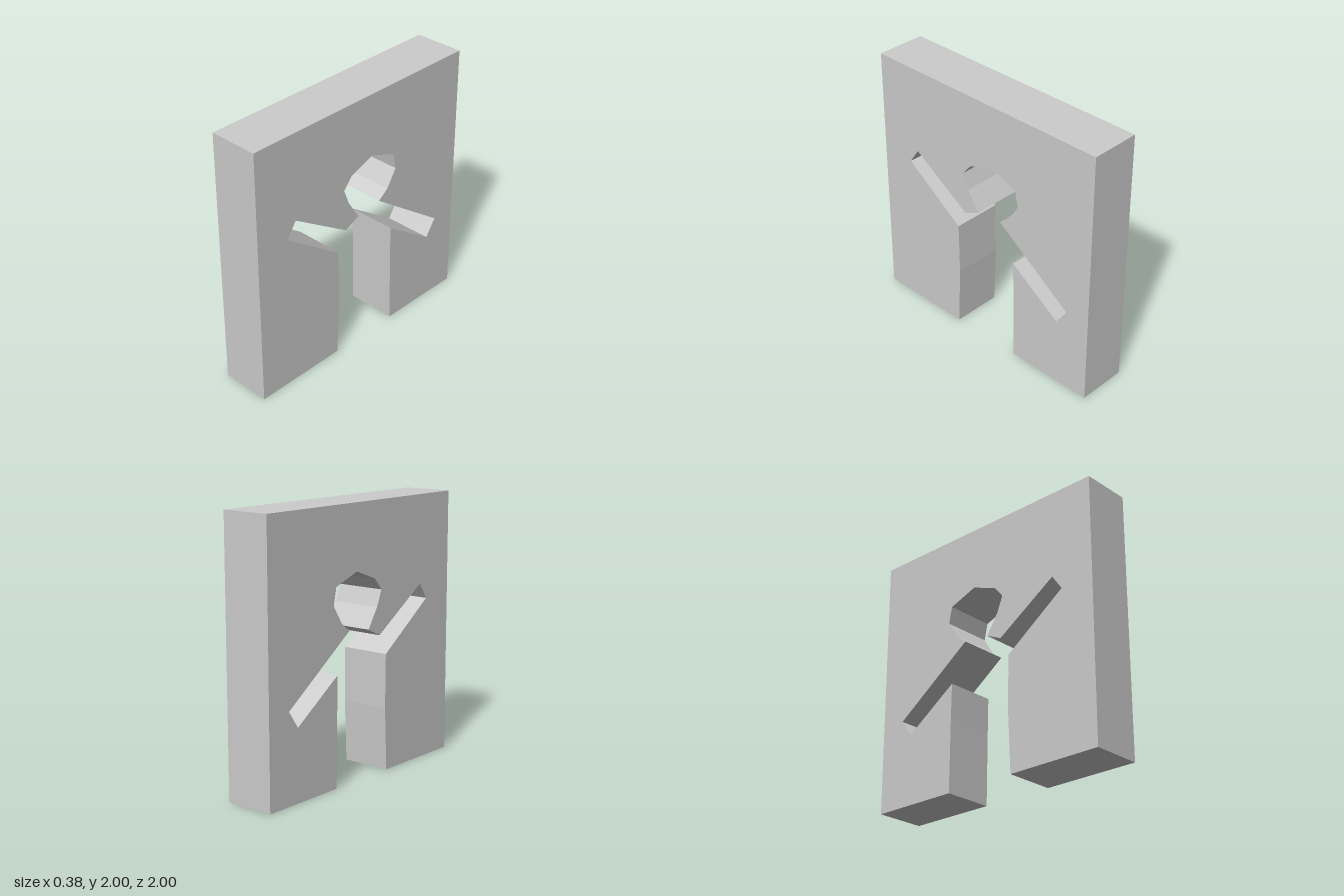
import * as THREE from 'three';

// Thick upright panel with a figure-shaped doorway cut through it.
export function createModel() {
  const group = new THREE.Group();
  const thickness = 0.38;

  // Profile as [-z, y]: follows the cut-out, then closes around the slab
  const legAndRaisedArm = [
    [-0.26, 0], [-0.24, 0.47], [-0.245, 0.875],
    [-0.733, 1.22], [-0.652, 1.338], [-0.17, 1.027],
  ];
  const head = [
    [-0.043, 1.087], [-0.14, 1.237], [-0.188, 1.357], [-0.113, 1.445], [0.09, 1.52],
    [0.313, 1.44], [0.34, 1.312], [0.257, 1.18], [0.171, 1.113],
  ];
  const loweredArmAndLeg = [
    [0.805, 0.664], [0.717, 0.535], [0.3, 0.82], [0.305, 0.54], [0.312, 0],
  ];
  const slab = [[1, 0], [1, 2], [-1, 2], [-1, 0]];

  const outline = [...legAndRaisedArm, ...head, ...loweredArmAndLeg, ...slab];
  const shape = new THREE.Shape(outline.map(([u, y]) => new THREE.Vector2(u, y)));

  // Extrude through the thickness and turn it to run along x
  const geometry = new THREE.ExtrudeGeometry(shape, { depth: thickness, bevelEnabled: false });
  geometry.translate(0, 0, -thickness / 2);
  geometry.rotateY(Math.PI / 2);

  const panel = new THREE.Mesh(
    geometry,
    new THREE.MeshStandardMaterial({ color: 0xcccccc, flatShading: true })
  );
  panel.name = 'cutoutPanel';
  group.add(panel);
  return group;
}
